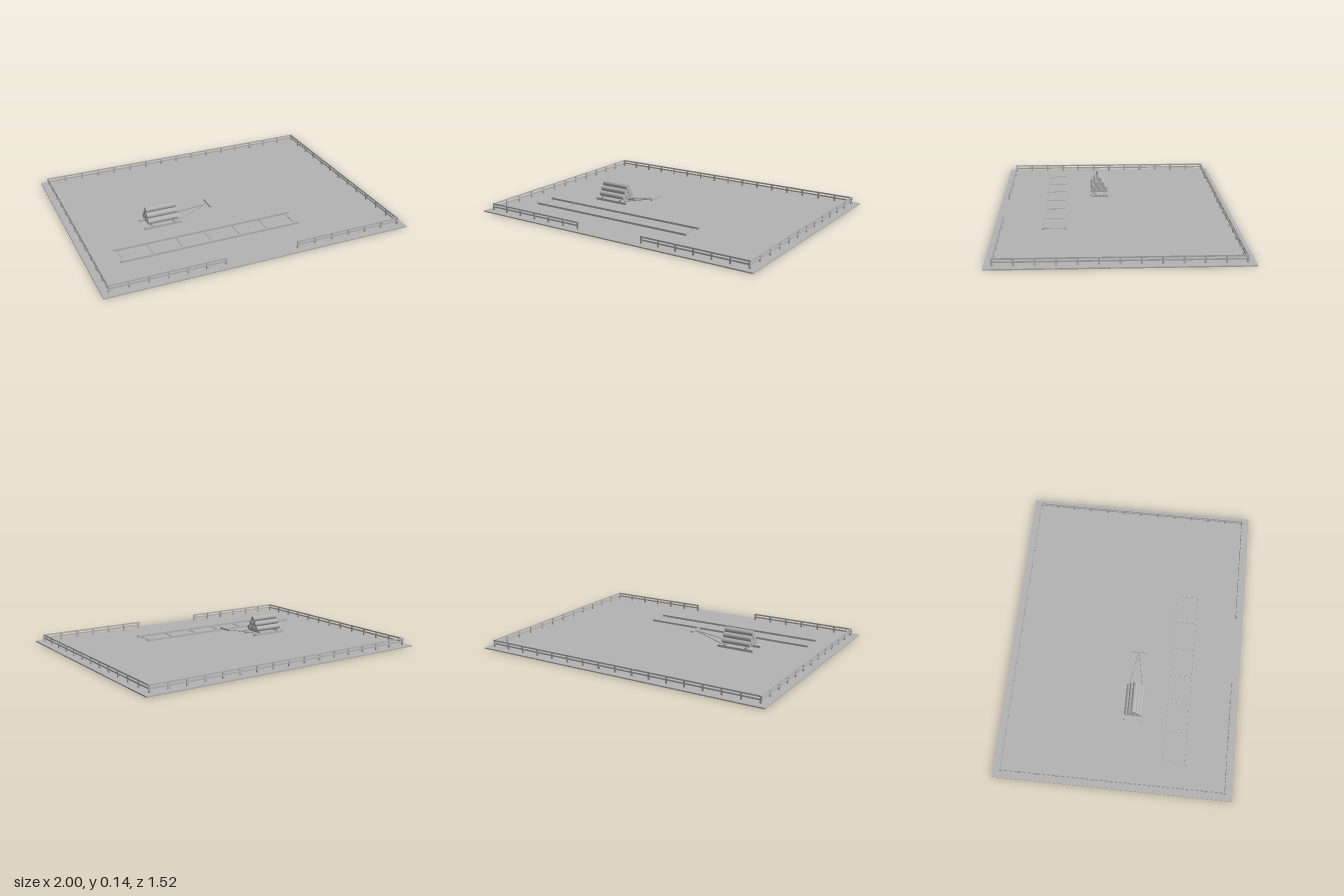
import * as THREE from 'three';

export function createModel() {
  const root = new THREE.Group();
  const grey = new THREE.MeshStandardMaterial({ color: 0xb3b3b3 });
  grey.name = 'plain grey';
  const GROUND = 0.008;

  const group = (name) => {
    const g = new THREE.Group();
    g.name = name;
    root.add(g);
    return g;
  };
  const box = (parent, name, size, pos) => {
    const m = new THREE.Mesh(new THREE.BoxGeometry(...size), grey);
    m.position.set(...pos);
    m.name = name;
    parent.add(m);
    return m;
  };
  // Round bar between two points
  const bar = (parent, name, a, b, r, sides = 16) => {
    const p = new THREE.Vector3(...a), q = new THREE.Vector3(...b);
    const d = q.clone().sub(p);
    const m = new THREE.Mesh(new THREE.CylinderGeometry(r, r, d.length(), sides), grey);
    m.position.copy(p).add(q).multiplyScalar(0.5);
    m.quaternion.setFromUnitVectors(new THREE.Vector3(0, 1, 0), d.normalize());
    m.name = name;
    parent.add(m);
  };

  // Ground slab
  box(root, 'ground', [2, GROUND, 1.525], [0, GROUND / 2, 0]);

  // Fence: posts and two rails per run, with a gate gap at the front
  const fence = group('fence');
  const FX = 0.955, FZ = 0.715, H = 0.055;
  const run = (x0, z0, x1, z1, count) => {
    const alongX = z0 === z1;
    const len = alongX ? Math.abs(x1 - x0) : Math.abs(z1 - z0);
    for (let i = 0; i <= count; i++) {
      const t = i / count;
      box(fence, 'fencePost', alongX ? [0.012, H - GROUND, 0.008] : [0.008, H - GROUND, 0.012],
        [x0 + (x1 - x0) * t, (H + GROUND) / 2, z0 + (z1 - z0) * t]);
    }
    for (const y of [0.05, 0.031]) {
      box(fence, 'fenceRail', alongX ? [len + 0.012, 0.01, 0.006] : [0.006, 0.01, len + 0.012],
        [(x0 + x1) / 2, y, (z0 + z1) / 2]);
    }
  };
  run(-FX, -FZ, FX, -FZ, 16);
  for (const s of [-1, 1]) {
    run(s * FX, -FZ, s * FX, FZ, 12);
    run(s * FX, FZ, s * 0.239, FZ, 6);
  }

  // Long track with low cross ties
  const track = group('track');
  for (const z of [0.315, 0.455]) {
    box(track, 'trackBeam', [1.19, 0.013, 0.013], [-0.21, 0.0155, z]);
  }
  for (let i = 0; i < 7; i++) {
    box(track, 'trackTie', [0.006, 0.004, 0.14], [-0.78 + i * 0.19, GROUND + 0.002, 0.385]);
  }

  // Sled runners and cross beams
  const sled = group('sled');
  const CX = -0.42, CZ = 0.09;
  for (const s of [-1, 1]) {
    box(sled, 'sledRunner', [0.25, 0.016, 0.013], [CX, 0.016, CZ + s * 0.055]);
    box(sled, 'sledCrossBeam', [0.014, 0.012, 0.12], [CX + s * 0.075, 0.03, CZ]);
  }

  // Log pyramid
  for (let row = 0; row < 3; row++) {
    const n = 3 - row;
    for (let i = 0; i < n; i++) {
      const z = CZ + (i - (n - 1) / 2) * 0.04, y = 0.053 + row * 0.032;
      bar(sled, 'log', [CX - 0.1, y, z], [CX + 0.1, y, z], 0.018);
    }
  }

  // Tow poles meeting at a crosswise handle
  for (const s of [-1, 1]) {
    bar(sled, 'towPole', [-0.32, 0.028, CZ + s * 0.045], [-0.092, 0.074, CZ], 0.004, 8);
  }
  box(sled, 'towHandle', [0.012, 0.012, 0.105], [-0.092, 0.075, CZ]);

  return root;
}
